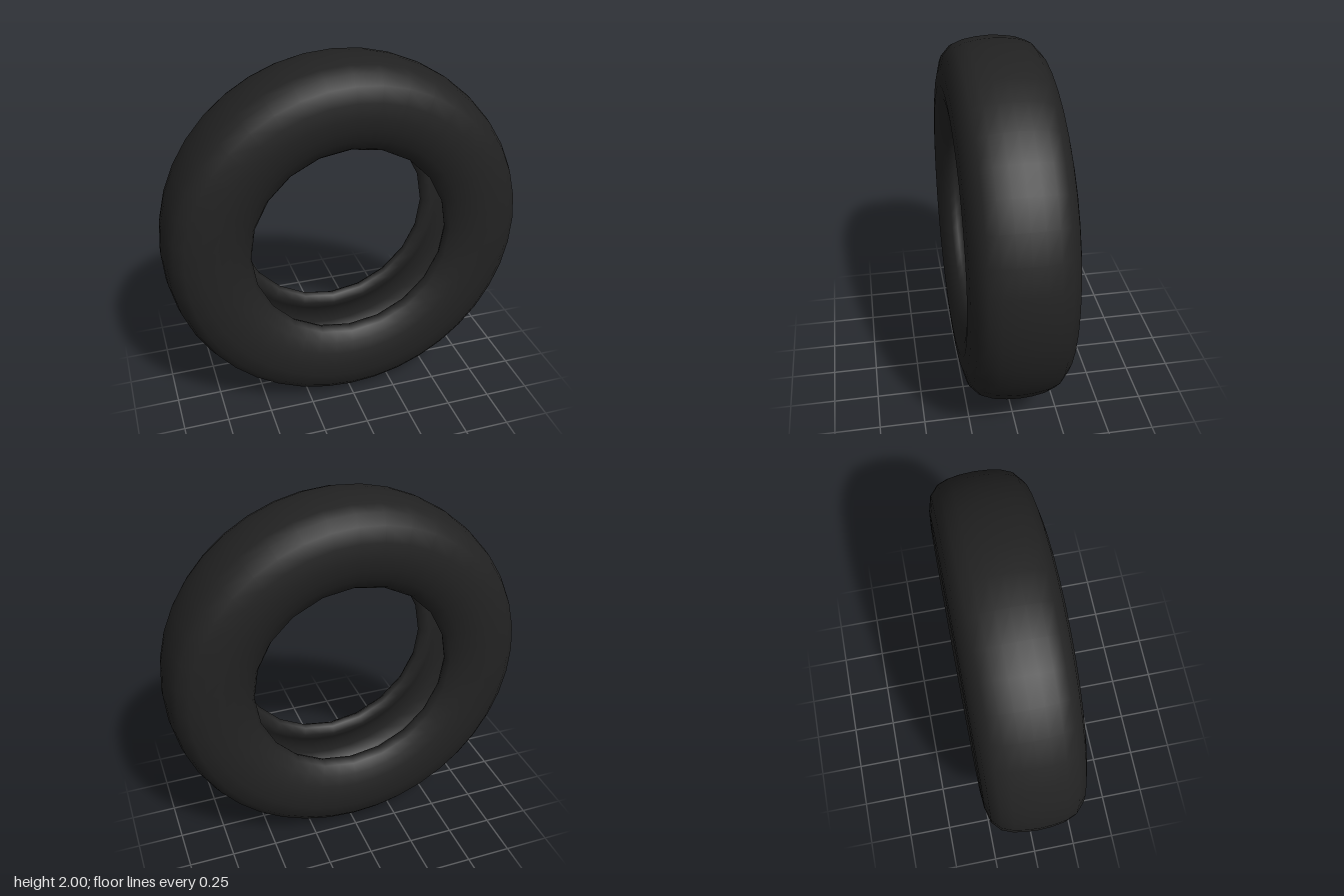
import * as THREE from 'three';

const SEGMENTS = 40;

// Half of the tyre cross-section as [radius, offset from centre], from tread to inner liner.
const HALF = [
  [1.0, 0], [0.996, 0.07], [0.985, 0.14], [0.962, 0.2], [0.91, 0.248],
  [0.83, 0.269], [0.75, 0.275], [0.68, 0.265], [0.62, 0.242], [0.57, 0.212], // shoulder and sidewall
  [0.55, 0.18], [0.56, 0.152], [0.6, 0.135],                                 // bead
  [0.64, 0.155], [0.7, 0.195], [0.78, 0.2], [0.85, 0.17], [0.89, 0.1], [0.9, 0], // hollow liner
];

export function createModel() {
  const group = new THREE.Group();
  group.name = 'tyre';
  const rubber = new THREE.MeshStandardMaterial({ color: 0x222222 });
  rubber.name = 'black rubber';

  // Closed loop: liner centre, back half, tread centre, front half, liner centre.
  const back = HALF.slice(1).reverse().map(([r, z]) => new THREE.Vector2(r, -z));
  const front = HALF.map(([r, z]) => new THREE.Vector2(r, z));
  const profile = [...back, ...front];
  const geometry = new THREE.LatheGeometry(profile, SEGMENTS);

  // The bead has half as many sides: pull every second column onto the chord.
  const pos = geometry.attributes.position;
  const chord = Math.cos((2 * Math.PI) / SEGMENTS);
  for (let i = 0; i < pos.count; i++) {
    const column = Math.floor(i / profile.length);
    if (column % 2 === 1 && profile[i % profile.length].x < 0.61) {
      pos.setX(i, pos.getX(i) * chord);
      pos.setZ(i, pos.getZ(i) * chord);
    }
  }

  geometry.rotateX(Math.PI / 2);
  const tyre = new THREE.Mesh(geometry, rubber);
  tyre.name = 'tyreCarcass';
  tyre.position.y = 1;
  group.add(tyre);
  return group;
}
